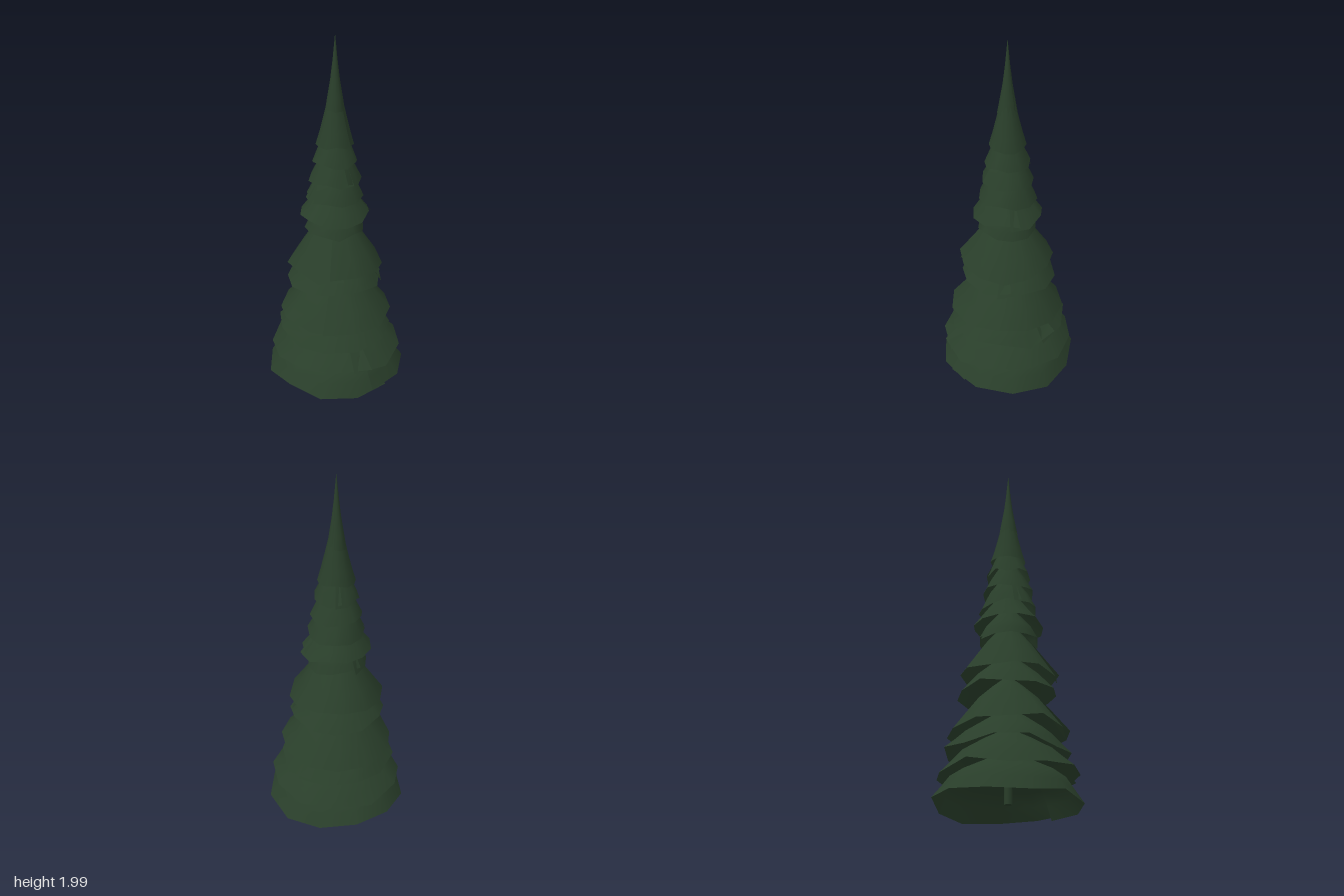
import * as THREE from 'three';

const SIDES = 11;

// small seeded generator for the ragged rims
function seeded(seed) {
  let s = seed;
  return () => {
    s = (s * 16807) % 2147483647;
    return s / 2147483647;
  };
}

// Open skirt of foliage wrapped around the trunk; its two ends overlap at a seam.
// profile: [radius, height] rings from the ragged rim up to the trunk.
// sway: how far the rim rises and falls.
function skirt(profile, seam, sway, rand) {
  const pos = [], index = [];
  const cols = SIDES + 2;
  const rim = Array.from({ length: cols }, () => [(rand() - 0.5) * 0.07, (rand() - 0.5) * 2 * sway]);
  profile.forEach(([r, y], j) => {
    const fade = [1, 0.5, 0.15][j] ?? 0;
    for (let i = 0; i < cols; i++) {
      const t = i / (cols - 1);
      const a = seam + t * Math.PI * 2 * (SIDES + 0.5) / SIDES;
      const rr = r * (1 + (0.5 - t) * 0.04 + rim[i][0] * fade);
      pos.push(Math.sin(a) * rr, y + rim[i][1] * fade, Math.cos(a) * rr);
      if (i < cols - 1 && j < profile.length - 1) {
        const p = j * cols + i, q = p + cols;
        index.push(p, p + 1, q + 1, p, q + 1, q);
      }
    }
  });
  const g = new THREE.BufferGeometry();
  g.setAttribute('position', new THREE.Float32BufferAttribute(pos, 3));
  g.setIndex(index);
  g.computeVertexNormals();
  return g;
}

export function createModel() {
  const tree = new THREE.Group();
  tree.name = 'firTree';
  const needles = new THREE.MeshStandardMaterial({ color: 0x293e2a, side: THREE.DoubleSide });
  needles.name = 'dark fir green';
  const rand = seeded(4711);

  const add = (geometry, name) => {
    const mesh = new THREE.Mesh(geometry, needles);
    mesh.name = name;
    tree.add(mesh);
  };

  // rim radius, rim height, neck radius, neck height, seam angle
  const tiers = [
    [0.385, 0.025, 0.30, 0.16, 0.9],
    [0.372, 0.17, 0.255, 0.29, 0.6],
    [0.322, 0.29, 0.225, 0.40, 2.6],
    [0.318, 0.405, 0.175, 0.58, 0.1],
    [0.265, 0.61, 0.18, 0.71, 1.7],
    [0.265, 0.71, 0.135, 0.90, 0.2],
    [0.165, 0.92, 0.13, 1.00, 4.0],
    [0.192, 1.01, 0.12, 1.11, 2.0],
    [0.16, 1.11, 0.11, 1.21, 5.2],
    [0.142, 1.215, 0.095, 1.31, 0.8],
    [0.122, 1.32, 0.08, 1.42, 3.3],
  ];
  tiers.forEach(([r, y, neckR, neckY, seam], k) => {
    const profile = [
      [r, y],
      [(r + neckR) / 2, (y + neckY) / 2],
      [neckR, neckY],
      [neckR * 0.5, neckY + 0.08],
      [0.015, neckY + 0.14],
    ];
    add(skirt(profile, seam, 0.01 + r * 0.04, rand), `foliageTier${k + 1}`);
  });

  // slender crown: a last skirt under the pointed tip
  add(skirt([[0.1, 1.42], [0.08, 1.49], [0.058, 1.58], [0.035, 1.68], [0.012, 1.78]], 1.2, 0.012, rand), 'crownSkirt');
  add(skirt([[0.053, 1.6], [0.04, 1.68], [0.025, 1.77], [0.013, 1.87], [0.001, 1.998]], 2.8, 0.012, rand), 'crownTip');

  // trunk
  const trunk = new THREE.CylinderGeometry(0.008, 0.022, 1.6, 8);
  trunk.translate(0, 0.83, 0);
  add(trunk, 'trunk');
  return tree;
}
